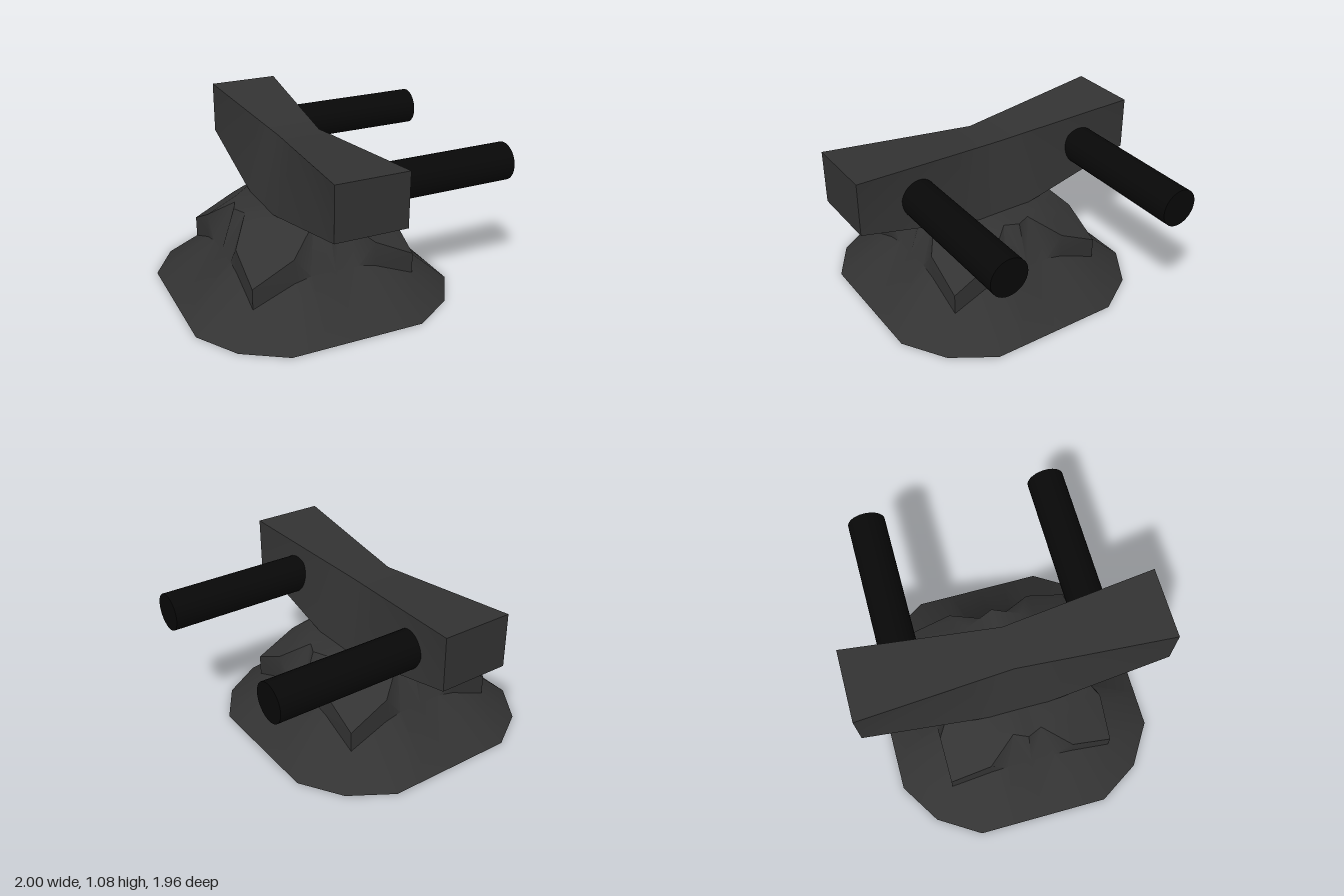
import * as THREE from 'three';
import { toCreasedNormals } from 'three/addons/utils/BufferGeometryUtils.js';

// Skin a stack of closed rings, with a fan closing each end.
// Each quad is split along its shorter diagonal.
function loft(rings, crease) {
  const centre = (ring) => {
    const c = [0, 1, 2].map((k) => ring.reduce((s, p) => s + p[k], 0) / ring.length);
    return ring.map(() => c);
  };
  const dist = (p, q) => Math.hypot(p[0] - q[0], p[1] - q[1], p[2] - q[2]);
  const all = [centre(rings[0]), ...rings, centre(rings[rings.length - 1])];
  const pos = [];
  const tri = (p, q, r) => {
    if (dist(p, q) > 1e-5 && dist(q, r) > 1e-5 && dist(r, p) > 1e-5) pos.push(...p, ...q, ...r);
  };
  const n = rings[0].length;
  for (let i = 0; i < all.length - 1; i++) {
    for (let j = 0; j < n; j++) {
      const k = (j + 1) % n;
      const a = all[i][j], b = all[i + 1][j], c = all[i + 1][k], d = all[i][k];
      if (dist(b, d) < dist(a, c)) {
        tri(a, b, d);
        tri(b, c, d);
      } else {
        tri(a, b, c);
        tri(a, c, d);
      }
    }
  }
  const g = new THREE.BufferGeometry();
  g.setAttribute('position', new THREE.Float32BufferAttribute(pos, 3));
  return toCreasedNormals(g, crease);
}

// Repeat half a side, given as [out, along, y], into a four-sided ring.
function fourSided(half) {
  const side = [
    ...half.slice(1, -1).reverse().map(([a, b, y]) => [a, -b, y]),
    ...half,
  ];
  const ring = [];
  for (let q = 0; q < 4; q++) {
    const c = Math.cos(q * Math.PI / 2), s = Math.sin(q * Math.PI / 2);
    for (const [a, b, y] of side) ring.push([a * c - b * s, y, a * s + b * c]);
  }
  return ring;
}

export function createModel() {
  const model = new THREE.Group();
  const bodyMat = new THREE.MeshStandardMaterial({ color: 0x333333 });
  const barrelMat = new THREE.MeshStandardMaterial({ color: 0x080808 });
  const add = (name, geometry, material, x, y, z) => {
    const mesh = new THREE.Mesh(geometry, material);
    mesh.name = name;
    mesh.position.set(x, y, z);
    model.add(mesh);
    return mesh;
  };

  // Sloping skirt, short upright walls rising to peaks, and a folded top
  const pedestal = [
    [[0.857, 0, 0], [0.857, 0.2, 0], [0.857, 0.425, 0], [0.69, 0.69, 0]],
    [[0.535, 0, 0.3], [0.535, 0.16, 0.3], [0.535, 0.27, 0.275], [0.535, 0.535, 0.165]],
    [[0.535, 0, 0.3], [0.535, 0.16, 0.3], [0.535, 0.27, 0.435], [0.535, 0.535, 0.3]],
    [[0.445, 0, 0.575], [0.405, 0.09, 0.575], [0.365, 0.18, 0.575], [0.27, 0.27, 0.575]],
  ];
  add('pedestal', loft(pedestal.map(fourSided), 0.7), bodyMat, -0.143, 0, 0.01);

  // Crossbar: [z, top half width, top y, bottom half width, bottom y]
  const sections = [
    [-0.98, 0.228, 1.075, 0.228, 0.733],
    [-0.27, 0.162, 1.024, 0.262, 0.59],
    [-0.15, 0.151, 1.016, 0.265, 0.568],
    [0, 0.137, 1.005, 0.265, 0.565],
    [0.15, 0.151, 1.016, 0.265, 0.568],
    [0.27, 0.162, 1.024, 0.262, 0.59],
    [0.98, 0.228, 1.075, 0.228, 0.733],
  ];
  const barRings = sections.map(([z, tw, ty, bw, by]) => [
    [tw, ty, z], [bw, by, z], [-bw, by, z], [-tw, ty, z],
  ]);
  add('crossbar', loft(barRings, 0.5), bodyMat, -0.138, 0, 0);

  // Twin barrels
  for (const [name, z] of [['frontBarrel', 0.57], ['rearBarrel', -0.635]]) {
    const barrel = add(name, new THREE.CylinderGeometry(0.12, 0.12, 1.05, 32), barrelMat, 0.475, 0.832, z);
    barrel.rotation.z = -Math.PI / 2;
  }
  return model;
}
